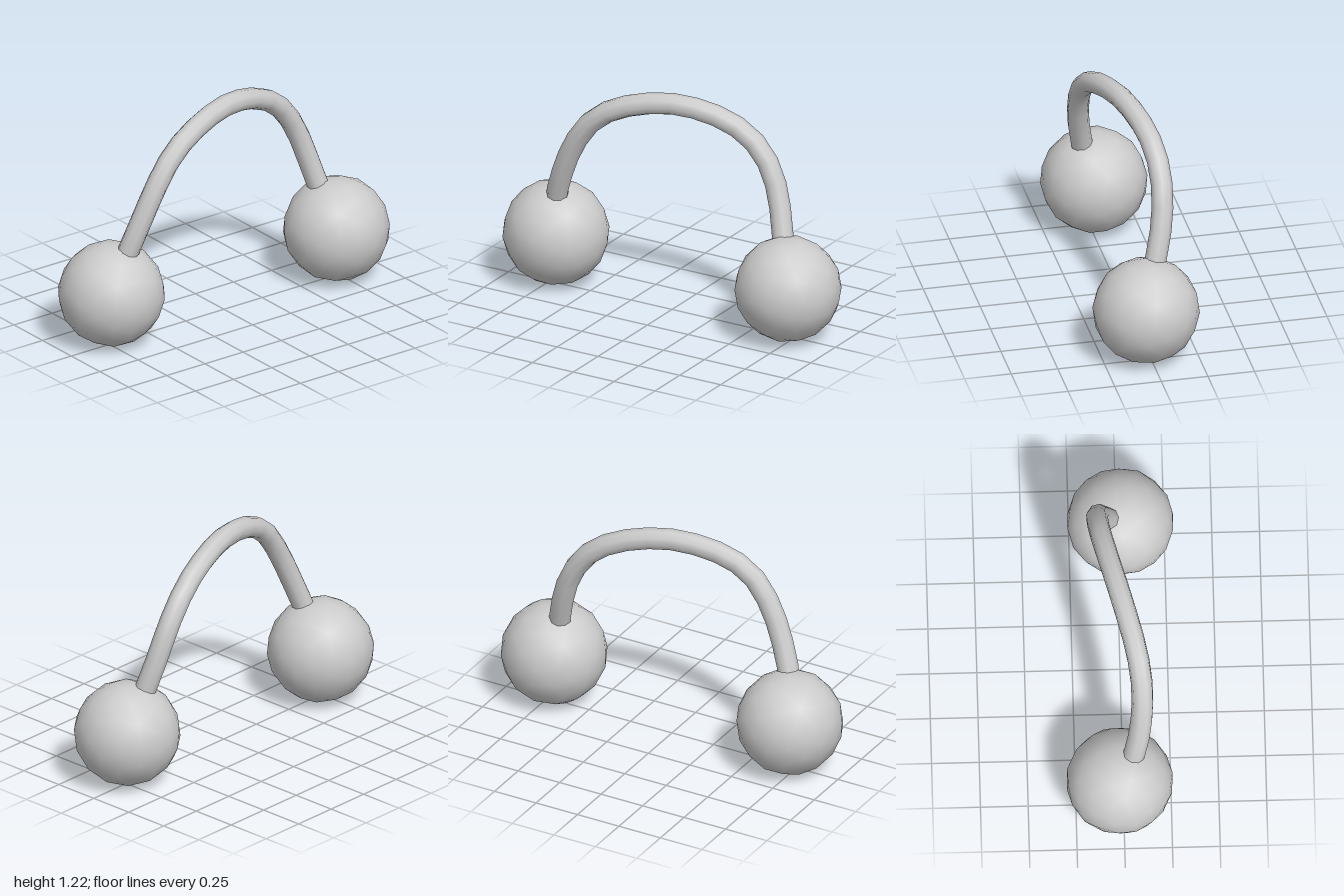
import * as THREE from 'three';

export function createModel() {
  const group = new THREE.Group();
  const material = new THREE.MeshStandardMaterial({ color: 0xcccccc });

  // Ball weights, one at each end of the bar
  for (const side of [-1, 1]) {
    const ball = new THREE.Mesh(new THREE.IcosahedronGeometry(0.282, 2), material);
    ball.name = side > 0 ? 'leftBall' : 'rightBall';
    ball.position.set(0.722 * side, 0.283, 0.02 * side);
    ball.rotation.set(0.3, 0.2 * side, 0.15);
    group.add(ball);
  }

  // Arched bar, twisted forward on the right and backward on the left
  const path = new THREE.CatmullRomCurve3([
    [-0.69, 0.45, 0.035],
    [-0.665, 0.55, 0.06],
    [-0.61, 0.7, 0.088],
    [-0.53, 0.875, 0.105],
    [-0.425, 1.02, 0.102],
    [-0.28, 1.112, 0.075],
    [0, 1.168, 0],
    [0.27, 1.116, -0.07],
    [0.43, 1.02, -0.102],
    [0.54, 0.875, -0.107],
    [0.605, 0.7, -0.085],
    [0.645, 0.55, -0.05],
    [0.67, 0.45, -0.025],
  ].map((p) => new THREE.Vector3(...p)));
  const bar = new THREE.Mesh(new THREE.TubeGeometry(path, 18, 0.058, 9), material);
  bar.name = 'archedBar';
  group.add(bar);

  return group;
}
